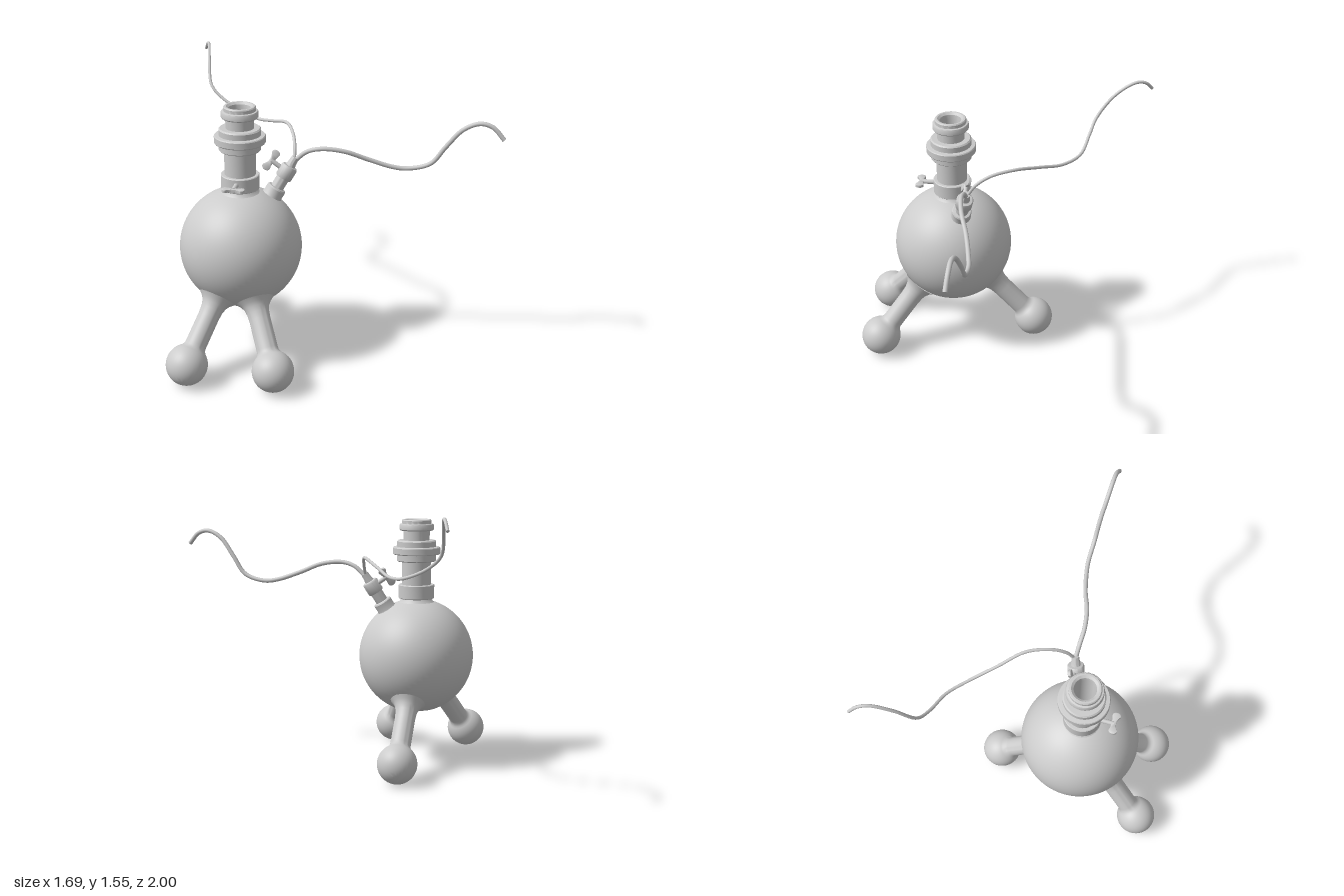
import * as THREE from 'three';
import { toCreasedNormals } from 'three/addons/utils/BufferGeometryUtils.js';

const V = (x, y, z) => new THREE.Vector3(x, y, z);
const UP = V(0, 1, 0);
const CENTER = V(-0.27, 0.654, 0.114);
const R = 0.341;

export function createModel() {
  const model = new THREE.Group();
  const mat = new THREE.MeshStandardMaterial({ color: 0xcccccc, side: THREE.DoubleSide });

  const add = (parent, name, geo) => {
    const mesh = new THREE.Mesh(geo, mat);
    mesh.name = name;
    parent.add(mesh);
    return mesh;
  };

  // Turned part from [radius, height] pairs, running bottom to top
  const turned = (profile, segments = 48) => toCreasedNormals(
    new THREE.LatheGeometry(profile.map(([r, y]) => new THREE.Vector2(r, y)), segments), 0.6);

  // Thumb screw: stem pointing along `dir`, wings spread along `span`
  const thumbScrew = (name, origin, dir, span, length) => {
    const group = new THREE.Group();
    group.name = name;
    const y = dir.clone().normalize();
    const z = span.clone().cross(y).normalize();
    const x = y.clone().cross(z);
    group.quaternion.setFromRotationMatrix(new THREE.Matrix4().makeBasis(x, y, z));
    group.position.copy(origin);
    add(group, 'stem', new THREE.CylinderGeometry(0.013, 0.013, length, 16)).position.y = length / 2;
    const shape = new THREE.Shape();
    shape.moveTo(0, -0.012);
    shape.quadraticCurveTo(0.03, -0.012, 0.042, -0.018);
    shape.bezierCurveTo(0.066, -0.022, 0.066, 0.026, 0.042, 0.024);
    shape.quadraticCurveTo(0.02, 0.006, 0, 0.008);
    shape.quadraticCurveTo(-0.02, 0.006, -0.042, 0.024);
    shape.bezierCurveTo(-0.066, 0.026, -0.066, -0.022, -0.042, -0.018);
    shape.quadraticCurveTo(-0.03, -0.012, 0, -0.012);
    const wing = new THREE.ExtrudeGeometry(shape, {
      depth: 0.01, bevelThickness: 0.004, bevelSize: 0.003, bevelSegments: 2, curveSegments: 8 });
    wing.translate(0, length, -0.005);
    add(group, 'wings', toCreasedNormals(wing, 0.6));
    model.add(group);
  };

  // Round vessel with a slightly flattened underside
  const body = [[0, -0.318], [0.08, -0.317]];
  for (let i = 0; i <= 40; i++) {
    const a = -1.17 + (Math.PI / 2 + 1.17) * i / 40;
    body.push([Math.max(0, R * Math.cos(a)), R * Math.sin(a)]);
  }
  add(model, 'body', turned(body, 64)).position.copy(CENTER);

  // Three ball-footed legs aimed at the middle of the body
  const legProfile = [];
  for (let i = 0; i <= 24; i++) {
    const a = -Math.PI / 2 + 2.5 * i / 24;
    legProfile.push([Math.max(0, 0.115 * Math.cos(a)), 0.115 * Math.sin(a)]);
  }
  legProfile.push([0.06, 0.108], [0.059, 0.125], [0.059, 0.29], [0.062, 0.33],
    [0.07, 0.36], [0.084, 0.382], [0.105, 0.402]);
  const legGeo = turned(legProfile, 40);
  for (const [name, x, z] of [['rightLeg', -0.731, 0.27], ['frontLeg', -0.383, 0.593], ['backLeg', 0.056, -0.243]]) {
    const leg = add(model, name, legGeo);
    leg.position.set(x, 0.115, z);
    leg.quaternion.setFromUnitVectors(UP, CENTER.clone().sub(leg.position).normalize());
  }

  // Hollow neck with clamp collar, stacked rings and a lipped mouth
  add(model, 'neck', turned([
    [0.125, 0.965], [0.1, 0.982], [0.09, 1.0], [0.102, 1.0], [0.106, 1.004], [0.106, 1.079], [0.102, 1.083], [0.086, 1.083],
    [0.086, 1.22], [0.11, 1.22], [0.115, 1.225], [0.115, 1.26], [0.136, 1.262], [0.14, 1.267], [0.14, 1.3],
    [0.136, 1.305], [0.115, 1.307], [0.115, 1.338], [0.108, 1.345], [0.077, 1.345],
    [0.077, 1.4], [0.096, 1.402], [0.101, 1.408], [0.101, 1.434], [0.097, 1.44], [0.088, 1.442],
    [0.088, 1.46], [0.083, 1.466], [0.073, 1.466], [0.06, 1.455], [0.057, 1.43], [0.057, 1.1], [0, 1.1],
  ])).position.set(CENTER.x, 0, CENTER.z);
  thumbScrew('neckScrew', V(CENTER.x - 0.067, 1.052, CENTER.z + 0.067), V(-1, 0, 1), V(0.75, 0, 0.65), 0.085);

  // Slanted side nozzle, standing square on the body
  const axis = V(0.49, 0.849, 0.2).normalize();
  const nozzle = add(model, 'nozzle', turned([
    [0.062, 0.315], [0.058, 0.335], [0.055, 0.345], [0.055, 0.383], [0.05, 0.39], [0.036, 0.392], [0.036, 0.452],
    [0.044, 0.453], [0.047, 0.458], [0.047, 0.52], [0.042, 0.528], [0.027, 0.53], [0.024, 0.55],
    [0.021, 0.585], [0, 0.587],
  ], 32));
  nozzle.position.copy(CENTER);
  nozzle.quaternion.setFromUnitVectors(UP, axis);
  thumbScrew('nozzleScrew', CENTER.clone().addScaledVector(axis, 0.492), V(-0.06, 0.06, -0.06),
    V(0.09, 0.075, 0.02), 0.105);

  // Flexible hoses sprouting from the nozzle tip
  const hose = (name, radius, points) => {
    const curve = new THREE.CatmullRomCurve3(points.map((p) => V(...p)));
    add(model, name, new THREE.TubeGeometry(curve, 90, radius, 12));
    for (const t of [0, 1]) {
      const cap = add(model, name + 'End', new THREE.CircleGeometry(radius, 12));
      cap.position.copy(curve.getPoint(t));
      cap.quaternion.setFromUnitVectors(V(0, 0, 1), curve.getTangent(t).multiplyScalar(t ? 1 : -1));
    }
  };
  hose('thickHose', 0.0125, [
    [0.01, 1.13, 0.228], [0.055, 1.19, 0.28], [0.11, 1.213, 0.34], [0.21, 1.2, 0.415], [0.325, 1.15, 0.475],
    [0.44, 1.105, 0.55], [0.505, 1.097, 0.6], [0.59, 1.135, 0.69], [0.64, 1.24, 0.75], [0.69, 1.345, 0.82],
    [0.745, 1.385, 0.885], [0.79, 1.37, 0.935], [0.83, 1.305, 0.985],
  ]);
  hose('thinHose', 0.009, [
    [0.01, 1.13, 0.228], [0.04, 1.2, 0.19], [0.08, 1.25, 0.115], [0.13, 1.265, -0.015], [0.145, 1.228, -0.185],
    [0.16, 1.195, -0.345], [0.15, 1.205, -0.49], [0.085, 1.265, -0.62], [0.055, 1.335, -0.7],
    [0.1, 1.465, -0.795], [0.16, 1.535, -0.895], [0.185, 1.528, -0.95], [0.2, 1.485, -0.995],
  ]);

  return model;
}
